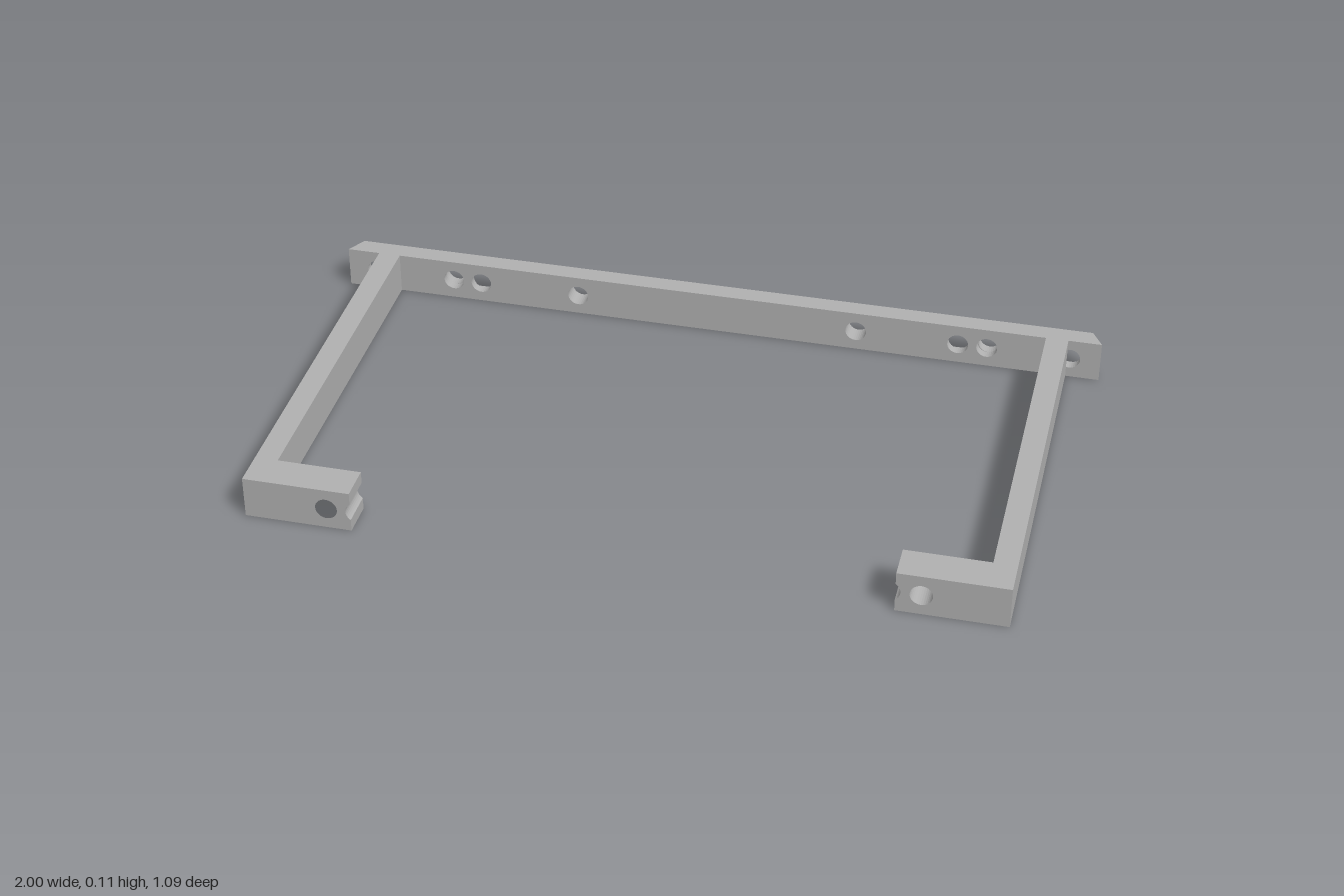
import * as THREE from 'three';

const H = 0.107, MID = H / 2, R = 0.027;
const BACK = -0.545, STEP = -0.518, FRONT = -0.495; // depth layers of the rear bar
const SLOT_X = 0.635, SCREW_X = 0.71, PIN_X = 0.37, END_X = 0.922;

const polygon = (pts) => new THREE.Shape(pts.map(([x, y]) => new THREE.Vector2(x, y)));
const rect = (x0, x1, y0, y1) => polygon([[x0, y0], [x1, y0], [x1, y1], [x0, y1]]);
const hole = (x, r = R) => new THREE.Path().absarc(x, MID, r, 0, Math.PI * 2, true);

function extrudeZ(shape, z0, z1) {
  const g = new THREE.ExtrudeGeometry(shape, { depth: z1 - z0, bevelEnabled: false, curveSegments: 16 });
  return g.translate(0, 0, z0);
}

// One layer of the bar, its ends slanting in toward the back
function barLayer(z0, z1, holes) {
  const shape = rect(-1, 1, 0, H);
  shape.holes.push(...holes);
  const g = extrudeZ(shape, z0, z1);
  const p = g.attributes.position;
  for (let i = 0; i < p.count; i++) {
    if (Math.abs(p.getX(i)) > 0.98) {
      const t = (p.getZ(i) - BACK) / (FRONT - BACK);
      p.setX(i, Math.sign(p.getX(i)) * (0.972 + 0.028 * t));
    }
  }
  g.computeVertexNormals();
  return g;
}

export function createModel() {
  const group = new THREE.Group();
  const grey = new THREE.MeshStandardMaterial({ color: 0xb0b0b0 });
  grey.name = 'plain grey';
  const add = (name, geometry) => {
    const m = new THREE.Mesh(geometry, grey);
    m.name = name;
    group.add(m);
  };

  // Rear bar: through holes in front, counterbores and square pockets behind
  const frontHoles = [], backHoles = [];
  for (const s of [-1, 1]) {
    for (const x of [PIN_X, SLOT_X, SCREW_X, END_X]) frontHoles.push(hole(s * x));
    backHoles.push(hole(s * PIN_X), hole(s * SCREW_X + s * 0.003), hole(s * END_X, 0.042));
    const a = s * SLOT_X - 0.04, b = s * SLOT_X + 0.04;
    backHoles.push(rect(a, b, 0.012, H - 0.012));
  }
  add('rearBarFront', barLayer(STEP, FRONT, frontHoles));
  add('rearBarBack', barLayer(BACK, STEP, backHoles));

  for (const s of [-1, 1]) {
    const side = s > 0 ? 'left' : 'right';

    // Side arm
    const arm = new THREE.BoxGeometry(0.057, H, 0.455 - FRONT);
    arm.translate(s * 0.8865, MID, (0.455 + FRONT) / 2);
    add(side + 'Arm', arm);

    // Inward foot with a screw hole and a round groove in its end
    const pts = [[0.65, 0], [0.915, 0], [0.915, H], [0.65, H]];
    const half = Math.acos((0.65 - SLOT_X) / R);
    for (let i = 0; i <= 10; i++) {
      const a = half * (1 - i / 5);
      pts.push([SLOT_X + R * Math.cos(a), MID + R * Math.sin(a)]);
    }
    const foot = polygon(pts.map(([x, y]) => [s * x, y]));
    foot.holes.push(hole(s * SCREW_X));
    add(side + 'Foot', extrudeZ(foot, 0.455, 0.545));
  }
  return group;
}
